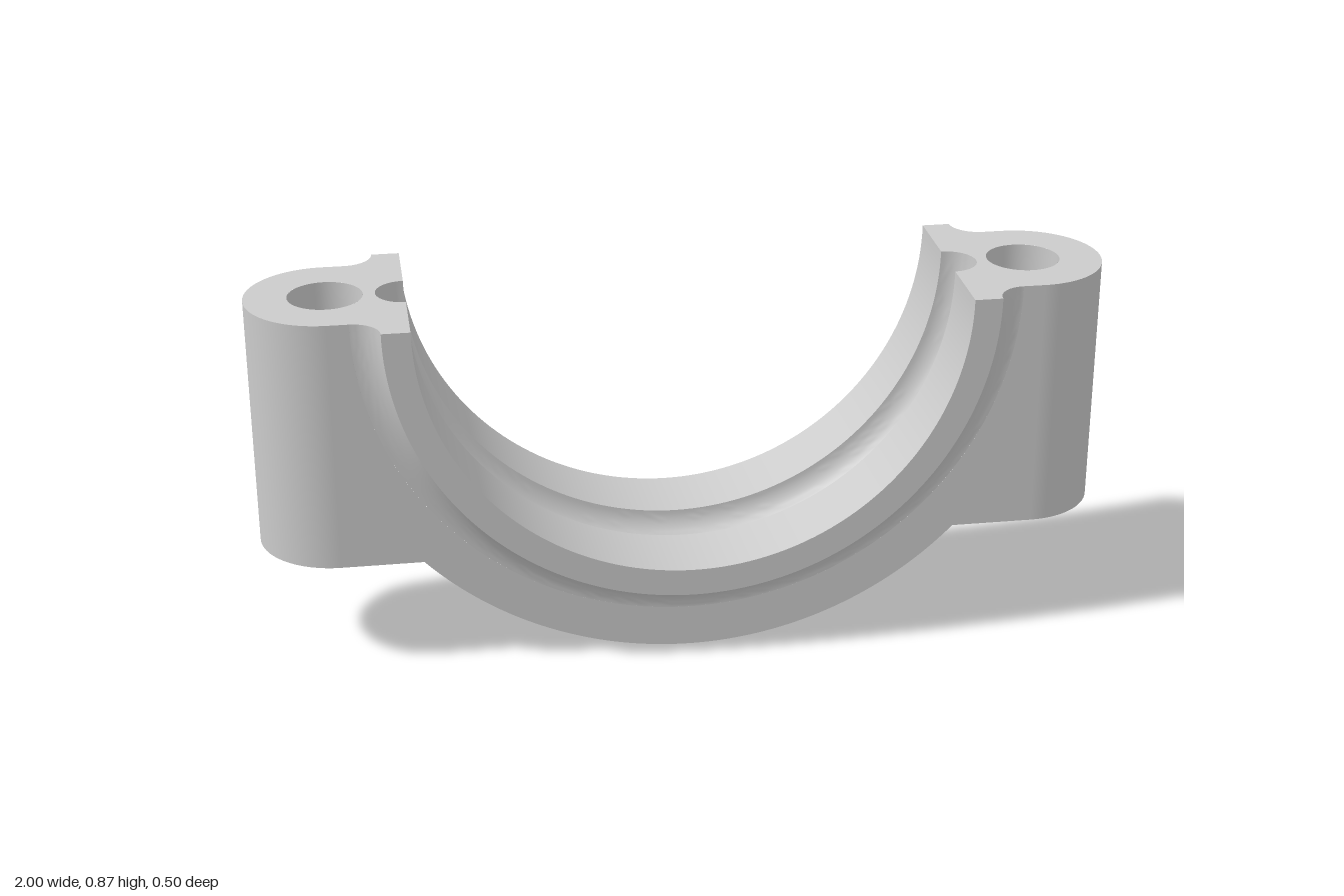
import * as THREE from 'three';
import { toCreasedNormals } from 'three/addons/utils/BufferGeometryUtils.js';

const TOP = 0.867;                       // height of the split plane = bore axis
const BORE = 0.635, LIP = 0.70, OUTER = 0.867;
const HALF = 0.25, WEB = 0.183;          // half depths of lip and web
const FILLET = HALF - WEB, GROOVE = 0.067;
const LUG_H = 0.6, LUG_X = 1 - WEB, HOLE_X = 0.815, HOLE_R = 0.086;
const LUG_IN = Math.sqrt(OUTER ** 2 - LUG_H ** 2);  // where the lug base meets the outer arc
const SEG = 96;

// Points of an arc in the (radius, depth) plane
function arc(cx, cy, r, a0, a1, n = 14) {
  return Array.from({ length: n + 1 }, (_, i) => {
    const a = a0 + (a1 - a0) * i / n;
    return new THREE.Vector2(cx + r * Math.cos(a), cy + r * Math.sin(a));
  });
}

// Sweep a (radius, depth) profile about the z axis, below the split plane
function sweep(points, halfAngle) {
  const g = new THREE.LatheGeometry(points, SEG, -halfAngle, 2 * halfAngle);
  g.rotateX(Math.PI / 2);
  return toCreasedNormals(g, 0.5);
}

function boltHole() {
  const p = new THREE.Path();
  p.absarc(HOLE_X, 0, HOLE_R, 0, Math.PI * 2, true);
  return p;
}

// Flat lug face: inner edge points closed by the rounded outer end, with bolt hole
function lugFace(innerEdge) {
  const s = new THREE.Shape(innerEdge);
  s.absarc(LUG_X, 0, WEB, -Math.PI / 2, Math.PI / 2, false);
  s.closePath();
  s.holes.push(boltHole());
  return new THREE.ShapeGeometry(s, 32);
}

export function createModel() {
  const model = new THREE.Group();
  model.name = 'bearingCap';
  const mat = new THREE.MeshStandardMaterial({ color: 0xcccccc });
  const inside = new THREE.MeshStandardMaterial({ color: 0xcccccc, side: THREE.DoubleSide });
  const add = (parent, name, geo, m = mat) => {
    const mesh = new THREE.Mesh(geo, m);
    mesh.name = name;
    parent.add(mesh);
    return mesh;
  };

  // Bore section: fillet, lip, bore, round oil groove, and the same mirrored
  const P = Math.PI;
  const profile = [
    ...arc(LIP + FILLET, HALF, FILLET, 1.5 * P, P),
    new THREE.Vector2(BORE, HALF),
    ...arc(BORE, 0, GROOVE, P / 2, -P / 2, 24),
    new THREE.Vector2(BORE, -HALF),
    ...arc(LIP + FILLET, -HALF, FILLET, P, P / 2),
  ];
  const saddle = new THREE.Group();
  saddle.name = 'saddle';
  saddle.position.y = TOP;
  model.add(saddle);
  add(saddle, 'grooveBoreAndLips', sweep(profile, P / 2));

  // Outer underside between the lugs
  const outerHalf = Math.asin(LUG_IN / OUTER);
  add(saddle, 'underside', sweep(
    [new THREE.Vector2(OUTER, -WEB), new THREE.Vector2(OUTER, WEB)], outerHalf));

  // Flat front and back faces spanning ring and lugs
  const web = new THREE.Shape();
  web.moveTo(-LIP - FILLET, 0);
  web.absarc(0, 0, LIP + FILLET, P, 2 * P, false);
  web.lineTo(LUG_X, 0);
  web.lineTo(LUG_X, -LUG_H);
  web.lineTo(LUG_IN, -LUG_H);
  web.absarc(0, 0, OUTER, -P / 2 + outerHalf, -P / 2 - outerHalf, true);
  web.lineTo(-LUG_X, -LUG_H);
  web.lineTo(-LUG_X, 0);
  web.closePath();
  const webGeo = new THREE.ShapeGeometry(web, SEG).translate(0, 0, WEB);
  add(saddle, 'frontFace', webGeo);
  add(saddle, 'backFace', webGeo.clone().rotateY(P));

  // Bolt lugs, one on each side
  const topGeo = lugFace(profile).rotateX(-P / 2);
  const baseGeo = lugFace([new THREE.Vector2(LUG_IN, WEB), new THREE.Vector2(LUG_IN, -WEB)])
    .rotateX(P / 2).translate(0, -LUG_H, 0);
  const endGeo = new THREE.CylinderGeometry(WEB, WEB, LUG_H, 32, 1, true, 0, P)
    .translate(LUG_X, -LUG_H / 2, 0);
  const holeGeo = new THREE.CylinderGeometry(HOLE_R, HOLE_R, LUG_H, 48, 1, true)
    .translate(HOLE_X, -LUG_H / 2, 0);
  for (const [name, turn] of [['leftLug', 0], ['rightLug', P]]) {
    const lug = new THREE.Group();
    lug.name = name;
    lug.position.y = TOP;
    lug.rotation.y = turn;
    add(lug, 'splitFace', topGeo);
    add(lug, 'lugBase', baseGeo);
    add(lug, 'roundedEnd', endGeo);
    add(lug, 'boltHole', holeGeo, inside);
    model.add(lug);
  }
  return model;
}
